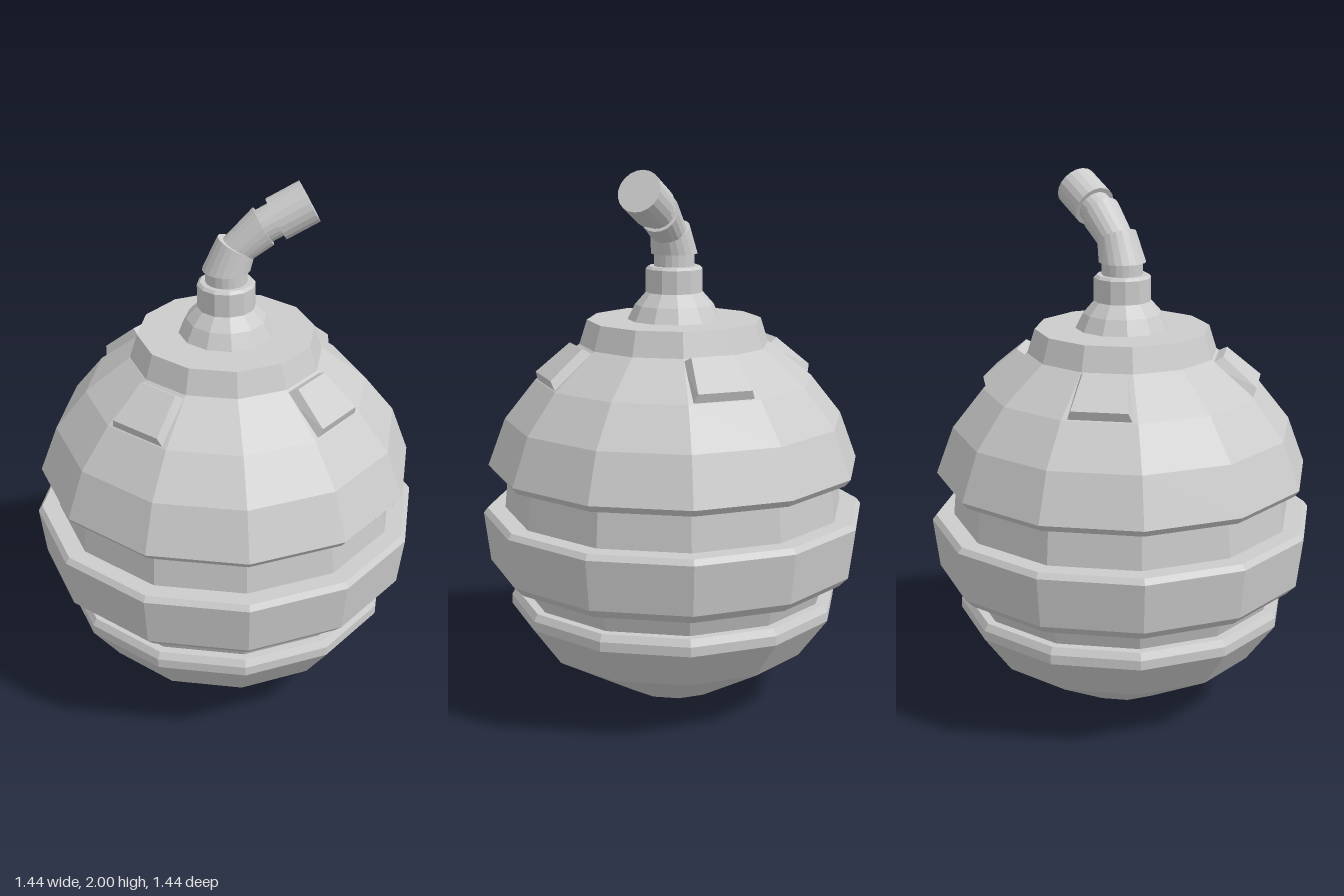
import * as THREE from 'three';

const material = new THREE.MeshStandardMaterial({ color: 0xcccccc, flatShading: true });

function addMesh(parent, name, geometry) {
  const mesh = new THREE.Mesh(geometry, material);
  mesh.name = name;
  parent.add(mesh);
  return mesh;
}

// Twelve-sided turned part from [radius, height] pairs, bottom to top
function turned(profile) {
  return new THREE.LatheGeometry(profile.map(([r, y]) => new THREE.Vector2(r, y)), 12);
}

// Capped pipe through rings [x, y, tilt in degrees towards +x, radius]
function pipe(rings, sides = 20) {
  const h = rings.length - 1;
  const geometry = new THREE.CylinderGeometry(1, 1, h, sides, h);
  const pos = geometry.attributes.position;
  for (let i = 0; i < pos.count; i++) {
    const [x, y, tilt, r] = rings[Math.round(pos.getY(i) + h / 2)];
    const a = THREE.MathUtils.degToRad(tilt);
    const across = pos.getX(i) * r;
    pos.setXYZ(i, x + across * Math.cos(a), y - across * Math.sin(a), pos.getZ(i) * r);
  }
  geometry.computeVertexNormals();
  return geometry;
}

// Raised pad lying on the sloping shell, facing +z, with bevelled sides
function padGeometry() {
  const geometry = new THREE.BoxGeometry(2, 2, 2);
  const pos = geometry.attributes.position;
  const inner = new THREE.Vector2(0.345, 1.36), outer = new THREE.Vector2(0.5, 1.23);
  const slope = outer.clone().sub(inner).normalize();
  const normal = new THREE.Vector2(-slope.y, slope.x);
  for (let i = 0; i < pos.count; i++) {
    const raised = pos.getY(i) > 0, isOuter = pos.getZ(i) > 0;
    const inset = raised ? 0.02 : 0;
    const p = (isOuter ? outer : inner).clone()
      .addScaledVector(slope, isOuter ? -inset : inset)
      .addScaledVector(normal, raised ? 0.03 : -0.02);
    pos.setXYZ(i, pos.getX(i) * ((isOuter ? 0.12 : 0.098) - inset), p.y, p.x);
  }
  geometry.computeVertexNormals();
  return geometry;
}

export function createModel() {
  const model = new THREE.Group();
  model.name = 'roundCanister';

  // Body: bowl, inner core, middle band and domed upper shell
  addMesh(model, 'lowerBowl', turned([
    [0, 0], [0.19, 0.03], [0.51, 0.215], [0.62, 0.365], [0.62, 0.4], [0.605, 0.425], [0, 0.425],
  ]));
  addMesh(model, 'innerCore', turned([
    [0, 0.4], [0.565, 0.4], [0.605, 0.52], [0.638, 0.73], [0.622, 0.9], [0, 0.9],
  ]));
  addMesh(model, 'middleBand', turned([
    [0.58, 0.505], [0.66, 0.505], [0.695, 0.54], [0.718, 0.725], [0.703, 0.745], [0.6, 0.745],
  ]));
  addMesh(model, 'upperShell', turned([
    [0.6, 0.885], [0.675, 0.885], [0.695, 0.91], [0.63, 1.085], [0.515, 1.23], [0.352, 1.36], [0, 1.36],
  ]));
  addMesh(model, 'topCollar', turned([[0.352, 1.355], [0.322, 1.45], [0, 1.45]]));

  // Four pads spaced around the shoulder
  const pad = padGeometry();
  for (let i = 0; i < 4; i++) {
    addMesh(model, 'shoulderPad' + (i + 1), pad).rotation.y = Math.PI / 4 + i * Math.PI / 2;
  }

  // Neck
  addMesh(model, 'neck', turned([
    [0.175, 1.445], [0.145, 1.505], [0.105, 1.55], [0.105, 1.635], [0.095, 1.645], [0, 1.645],
  ]));

  // Bent spout in stepped sections
  const spout = new THREE.Group();
  spout.name = 'spout';
  model.add(spout);
  addMesh(spout, 'innerPipe', pipe([
    [0, 1.63, 0, 0.075], [0, 1.7, 0, 0.075], [0.033, 1.76, 27, 0.063], [0.06, 1.79, 35, 0.06],
    [0.12, 1.84, 60, 0.063], [0.19, 1.877, 62, 0.063],
  ]));
  addMesh(spout, 'lowerElbow', pipe([[0, 1.69, 0, 0.086], [0.035, 1.778, 27, 0.073]]));
  addMesh(spout, 'upperElbow', pipe([[0.045, 1.767, 28, 0.066], [0.13, 1.845, 60, 0.075]]));
  addMesh(spout, 'tip', pipe([[0.174, 1.869, 62, 0.08], [0.29, 1.93, 62, 0.08]]));

  return model;
}
